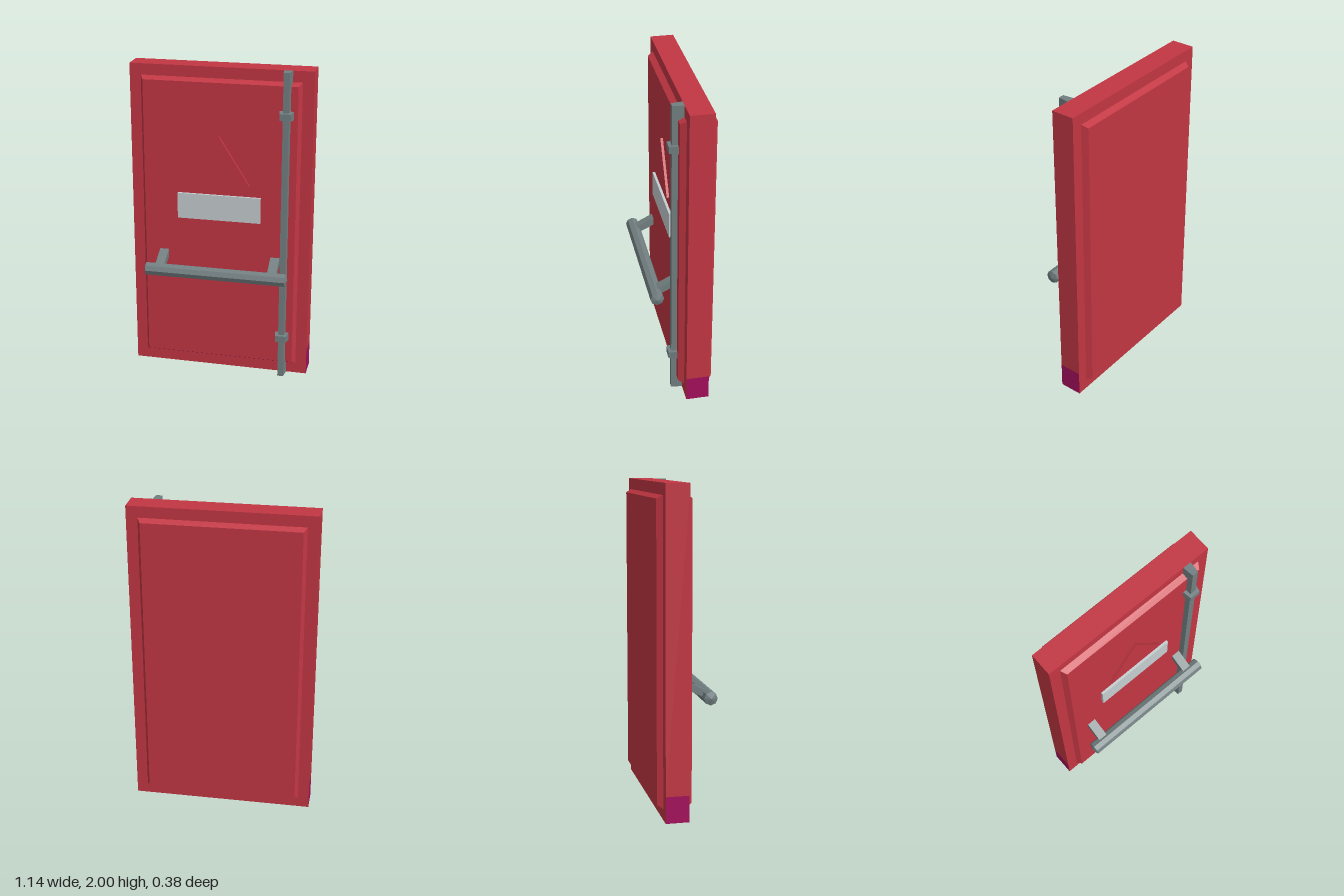
import * as THREE from 'three';

const material = (name, color) => {
  const m = new THREE.MeshStandardMaterial({ color });
  m.name = name;
  return m;
};

export function createModel() {
  const red = material('doorRed', 0xc23643);
  const purple = material('purpleEdge', 0xa30f5c);
  const grey = material('steelGrey', 0x727f81);
  const pale = material('paleGrey', 0xc6ced0);
  const model = new THREE.Group();
  model.name = 'securityDoor';

  const add = (name, geometry, mat) => {
    const mesh = new THREE.Mesh(geometry, mat);
    mesh.name = name;
    model.add(mesh);
    return mesh;
  };

  const block = (x0, x1, y0, y1, z0, z1) =>
    new THREE.BoxGeometry(x1 - x0, y1 - y0, z1 - z0)
      .translate((x0 + x1) / 2, (y0 + y1) / 2, (z0 + z1) / 2);

  // Block whose outer face is drawn in by insetX and insetY; side is +1 for front, -1 for back
  const bevelled = (x0, x1, y0, y1, z0, z1, insetX, insetY, side = 1) => {
    const geometry = block(x0, x1, y0, y1, z0, z1);
    const p = geometry.attributes.position;
    const mid = (z0 + z1) / 2;
    for (let i = 0; i < p.count; i++) {
      if ((p.getZ(i) - mid) * side < 0) continue;
      p.setX(i, p.getX(i) + (p.getX(i) < (x0 + x1) / 2 ? insetX : -insetX));
      p.setY(i, p.getY(i) + (p.getY(i) < (y0 + y1) / 2 ? insetY : -insetY));
    }
    geometry.computeVertexNormals();
    return geometry;
  };

  // Door slab, with purple lower edges and underside
  add('doorSlab', block(-0.57, 0.57, 0.165, 2, -0.157, -0.013), red);
  add('doorFoot', block(-0.57, 0.57, 0, 0.165, -0.157, -0.013),
    [purple, purple, red, purple, red, red]);

  // Raised panels on both faces
  add('frontPanel', bevelled(-0.5, 0.5, 0.07, 1.93, -0.013, 0.022, 0.02, 0.02),
    [red, red, red, purple, red, red]);
  add('backPanel', bevelled(-0.5, 0.5, 0.07, 1.93, -0.192, -0.157, 0.02, 0.02, -1), red);

  // Raised triangle and sign plate
  const triangle = new THREE.Shape([
    new THREE.Vector2(-0.192, 1.275),
    new THREE.Vector2(0.192, 1.275),
    new THREE.Vector2(0, 1.58),
  ]);
  add('warningTriangle',
    new THREE.ExtrudeGeometry(triangle, { depth: 0.017, bevelEnabled: false }).translate(0, 0, 0.021), red);
  add('signPlate', block(-0.265, 0.262, 1.037, 1.202, 0.021, 0.038), pale);

  // Vertical locking rod and its clips
  add('lockingRod', bevelled(0.386, 0.44, 0, 2, -0.013, 0.057, 0.008, 0), grey);
  for (const y of [0.274, 1.734]) {
    add('rodClip', bevelled(0.367, 0.457, y - 0.026, y + 0.026, 0.018, 0.077, 0.011, 0.005), grey);
  }

  // Eight-sided push bar with shallow pointed ends
  const barProfile = [[0, -0.459], [0.042, -0.446], [0.042, 0.446], [0, 0.459]]
    .map(([r, y]) => new THREE.Vector2(r, y));
  const bar = new THREE.LatheGeometry(barProfile, 8).toNonIndexed();
  bar.computeVertexNormals();
  bar.rotateZ(Math.PI / 2);
  add('pushBar', bar, grey).position.set(0, 0.718, 0.147);

  // Sloping brackets that carry the push bar
  const arm = new THREE.Shape([[0.015, 0.765], [0.14, 0.705], [0.14, 0.752], [0.015, 0.815]]
    .map(([z, y]) => new THREE.Vector2(-z, y)));
  for (const x of [-0.36, 0.358]) {
    const geometry = new THREE.ExtrudeGeometry(arm, { depth: 0.058, bevelEnabled: false });
    geometry.translate(0, 0, -0.029).rotateY(Math.PI / 2);
    add('barBracket', geometry, grey).position.x = x;
  }

  return model;
}
